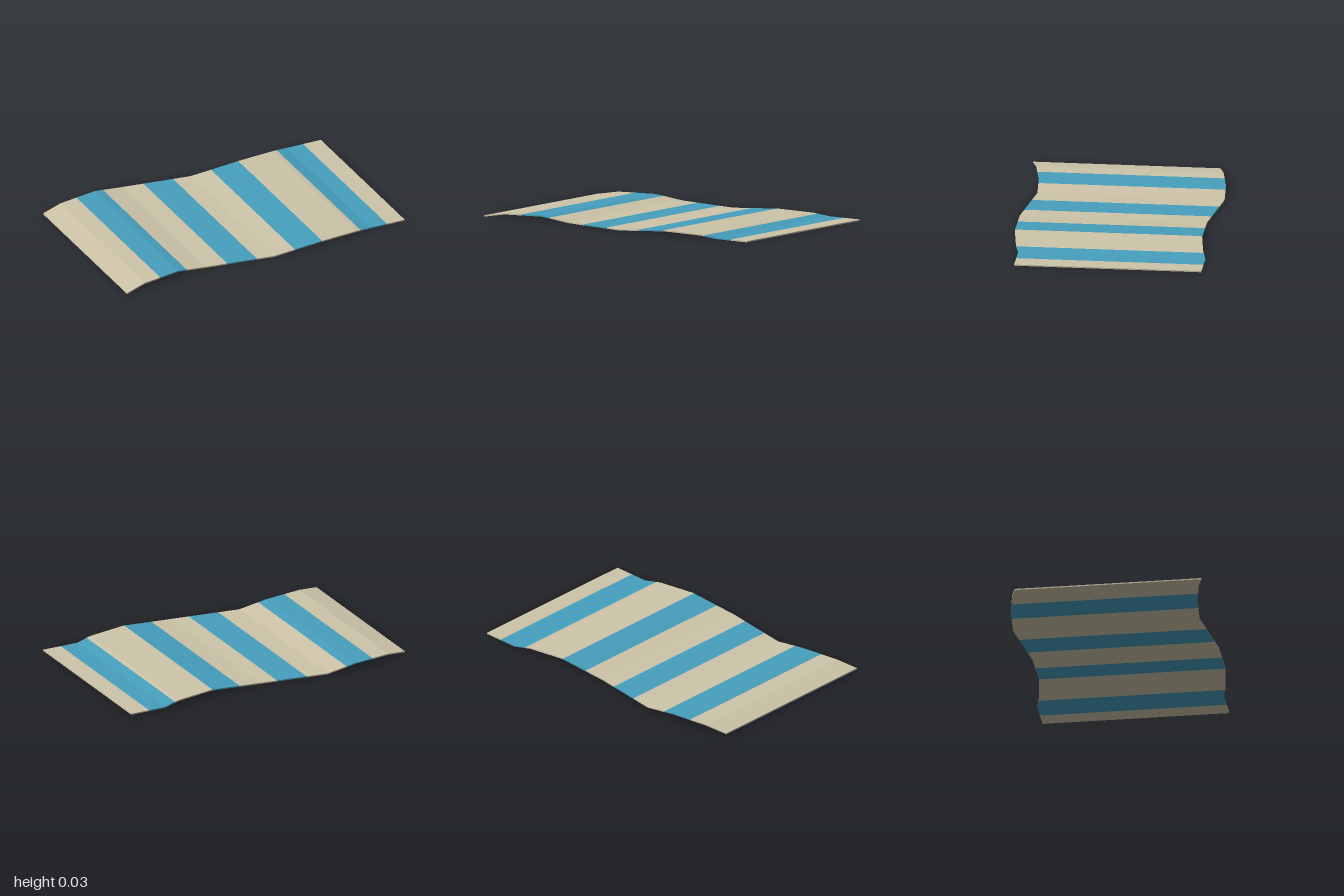
import * as THREE from 'three';

const HALF = 0.593;   // half of the cloth's depth
const THICK = 0.008;

// Wavy path of the cloth: [x, underside height, sideways shift in z]
const path = [
  [-1, 0, 0.045], [-0.86, 0.022, 0.01], [-0.6, 0.025, -0.034], [-0.4, 0, -0.047],
  [0.05, 0, 0.015], [0.4, 0.024, 0.008], [0.65, 0.016, -0.026], [0.76, 0, -0.052], [1, 0, -0.052],
];

// Point on the path at a given x
function station(x) {
  let i = 1;
  while (i < path.length - 1 && path[i][0] < x) i++;
  const a = path[i - 1], b = path[i];
  const t = (x - a[0]) / (b[0] - a[0]);
  return [x, a[1] + (b[1] - a[1]) * t, a[2] + (b[2] - a[2]) * t];
}

// Four corners of the cross-section: front bottom, back bottom, back top, front top
function section([x, y, z]) {
  return [
    [x, y, z + HALF], [x, y, z - HALF],
    [x, y + THICK, z - HALF], [x, y + THICK, z + HALF],
  ];
}

// Thin slab following the path between two x positions
function bandGeometry(x0, x1) {
  const inner = path.map((p) => p[0]).filter((x) => x > x0 && x < x1);
  const rings = [x0, ...inner, x1].map((x) => section(station(x)));
  const pos = [];
  const quad = (a, b, c, d) => pos.push(...a, ...b, ...c, ...a, ...c, ...d);
  for (let i = 0; i < rings.length - 1; i++) {
    const a = rings[i], b = rings[i + 1];
    for (let k = 0; k < 4; k++) {
      const n = (k + 1) % 4;
      quad(a[k], a[n], b[n], b[k]);
    }
  }
  // Close the two outer ends of the cloth
  if (x0 === -1) {
    const r = rings[0];
    quad(r[3], r[2], r[1], r[0]);
  }
  if (x1 === 1) {
    const r = rings[rings.length - 1];
    quad(r[0], r[1], r[2], r[3]);
  }
  const geo = new THREE.BufferGeometry();
  geo.setAttribute('position', new THREE.Float32BufferAttribute(pos, 3));
  geo.computeVertexNormals();
  return geo;
}

export function createModel() {
  const sand = new THREE.MeshStandardMaterial({ name: 'sand cloth', color: 0xcdc4a9 });
  const blue = new THREE.MeshStandardMaterial({ name: 'blue stripe', color: 0x469fbd });

  const towel = new THREE.Group();
  towel.name = 'towel';

  // Alternating sand bands and blue stripes
  const edges = [-1, -0.74, -0.54, -0.26, -0.065, 0.195, 0.39, 0.68, 0.875, 1];
  for (let i = 0; i < edges.length - 1; i++) {
    const striped = i % 2 === 1;
    const mesh = new THREE.Mesh(bandGeometry(edges[i], edges[i + 1]), striped ? blue : sand);
    mesh.name = striped ? 'blueStripe' : 'sandBand';
    towel.add(mesh);
  }
  return towel;
}
